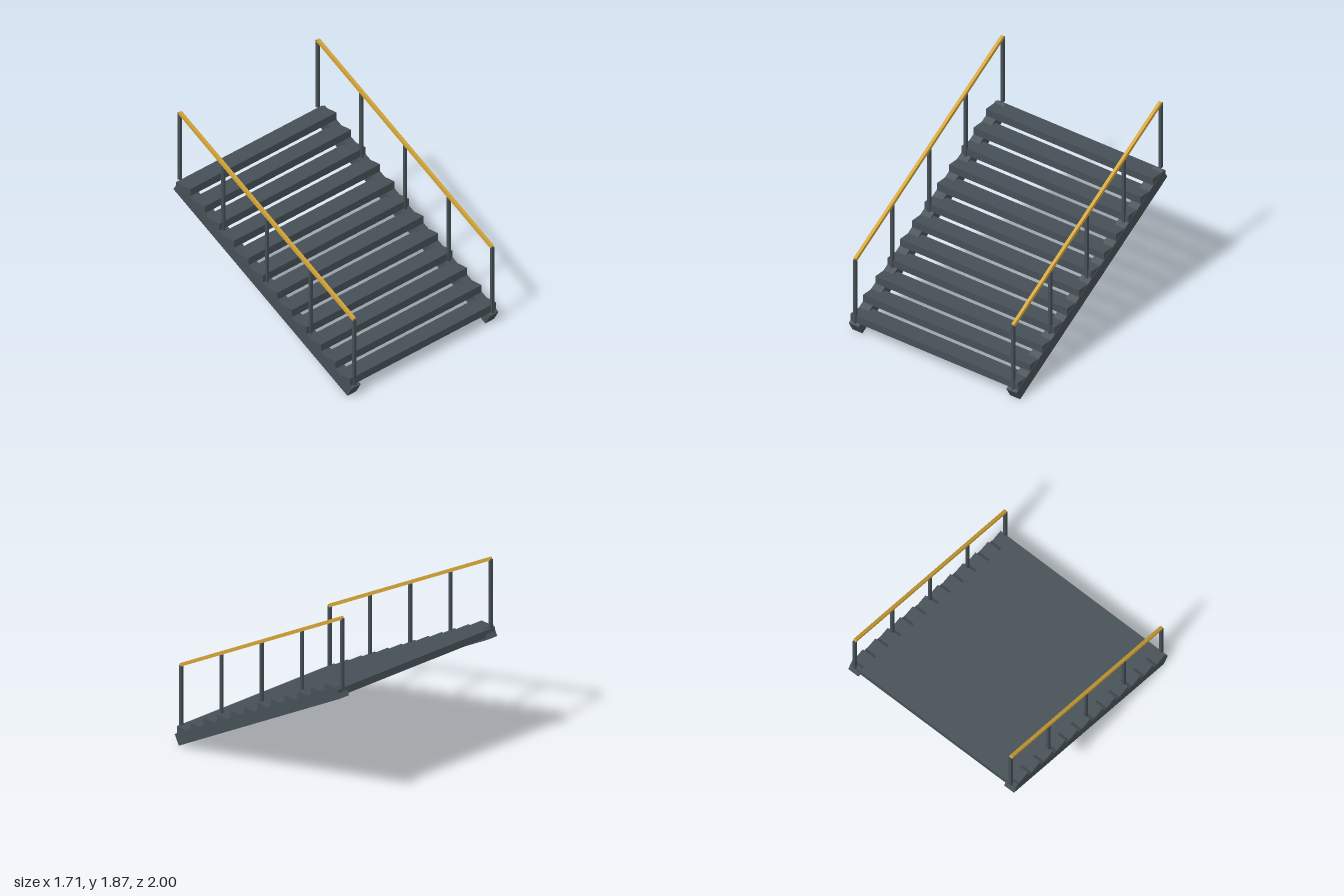
import * as THREE from 'three';

export function createModel() {
  const model = new THREE.Group();
  model.name = 'staircase';
  const steel = new THREE.MeshStandardMaterial({ color: 0x465056 });
  const gold = new THREE.MeshStandardMaterial({ color: 0xd4a537 });

  const steps = 12, run = 0.1627, rise = 0.0957;
  const slope = rise / run, pitch = Math.atan(slope);

  function box(name, material, size, position, tilt = 0) {
    const mesh = new THREE.Mesh(new THREE.BoxGeometry(...size), material);
    mesh.name = name;
    mesh.position.set(...position);
    mesh.rotation.x = tilt;
    model.add(mesh);
  }

  // Treads climbing toward the back
  for (let i = 0; i < steps; i++) {
    const k = i - (steps - 1) / 2;
    box('tread', steel, [1.704, 0.066, 0.162], [0, 0.661 + k * rise, -k * run]);
  }

  for (const [label, side] of [['left', 1], ['right', -1]]) {
    // Sloping beam under the tread ends
    box(label + 'Stringer', steel, [0.102, 0.1, 2.26], [side * 0.804, 0.617, 0], pitch);

    // Upright posts from the stringer to the handrail
    for (let i = 0; i < 5; i++) {
      const z = 0.975 - i * 0.4875;
      const bottom = 0.655 - z * slope, top = 1.277 - z * slope;
      box(label + 'Post', steel, [0.025, top - bottom, 0.026], [side * 0.805, (top + bottom) / 2, z]);
    }

    // Handrail parallel to the stringer
    box(label + 'Handrail', gold, [0.028, 0.028, 2.265], [side * 0.805, 1.28, 0], pitch);
  }

  return model;
}
